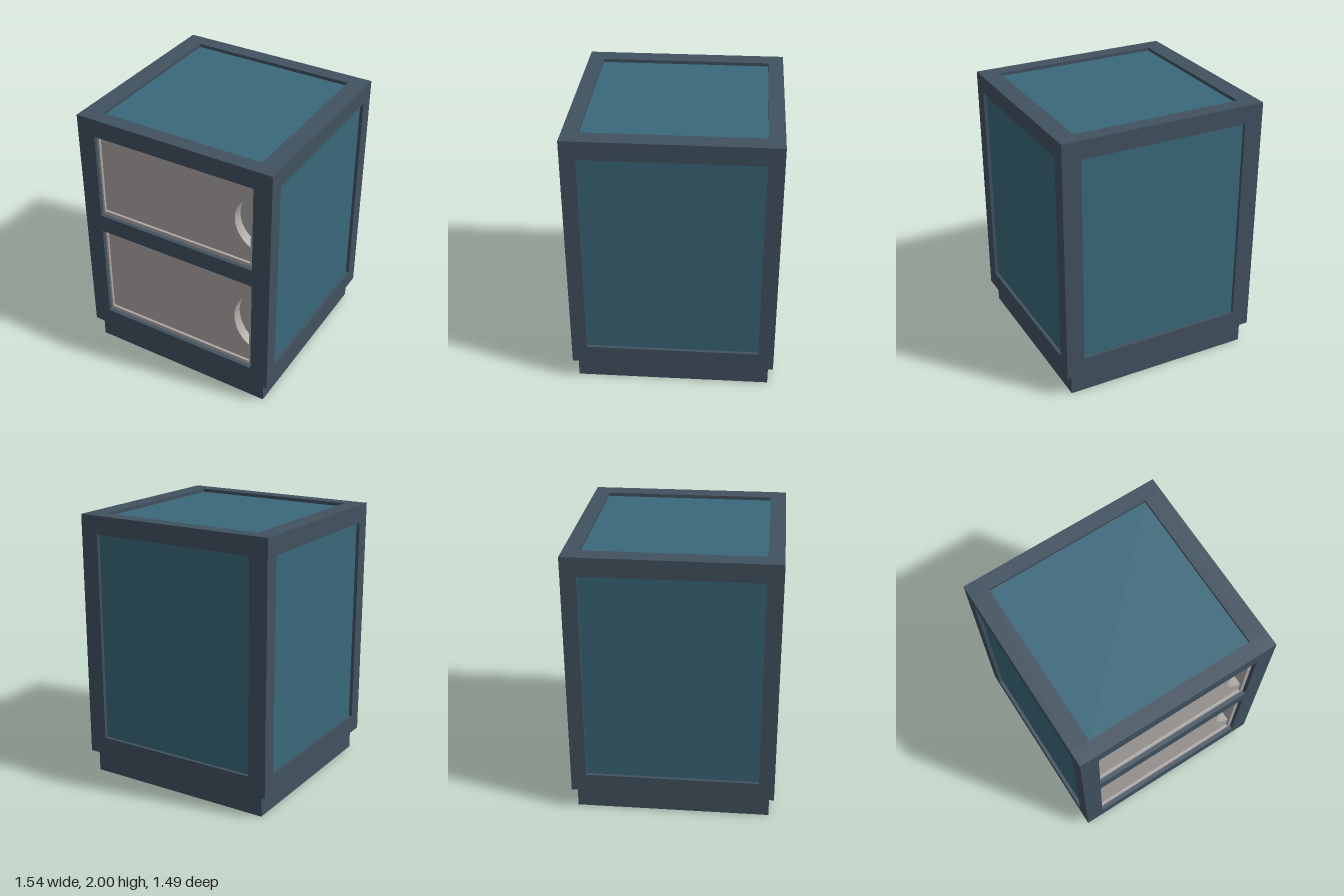
import * as THREE from 'three';

const paint = (color) => new THREE.MeshStandardMaterial({ color });
const frameMat = paint(0x415260);
const panelMat = paint(0x3a687a);
const drawerMat = paint(0xaca7a5);

// Outer half sizes, opening half sizes, and heights of the carcass
const X = 0.768, Z = 0.745, IX = 0.63, IZ = 0.632;
const BOTTOM = 0.165, TOP = 2, LOW = 0.3, HIGH = 1.865;
const RECESS = 0.025, THICK = 0.03;

// Box given by its minimum and maximum corners
function box(parent, name, mat, [x0, y0, z0], [x1, y1, z1]) {
  const mesh = new THREE.Mesh(new THREE.BoxGeometry(x1 - x0, y1 - y0, z1 - z0), mat);
  mesh.position.set((x0 + x1) / 2, (y0 + y1) / 2, (z0 + z1) / 2);
  mesh.name = name;
  parent.add(mesh);
}

// Flat shape extruded so that its front lies at the given z
function slab(parent, name, shape, front, depth) {
  const geo = new THREE.ExtrudeGeometry(shape, { depth, bevelEnabled: false, curveSegments: 10 });
  const mesh = new THREE.Mesh(geo, drawerMat);
  mesh.position.z = front - depth;
  mesh.name = name;
  parent.add(mesh);
}

const rectPoints = (x0, y0, x1, y1) =>
  [[x0, y0], [x1, y0], [x1, y1], [x0, y1]].map(([x, y]) => new THREE.Vector2(x, y));

// Drawer front: rim, sunken face with a curved bite, and the back of the finger pull
function drawer(name, y0, y1) {
  const group = new THREE.Group();
  group.name = name;
  const left = -0.615, right = 0.6, b = y0 + 0.03, t = y1 - 0.025;

  const rim = new THREE.Shape(rectPoints(-IX, y0, IX, y1));
  rim.holes.push(new THREE.Path(rectPoints(left, b, right, t)));
  slab(group, 'drawerRim', rim, Z - 0.03, 0.13);

  const cy = (y0 + y1) / 2 + 0.018, rx = 0.227, ry = 0.34 * (y1 - y0);
  const a = 1.153;
  const face = new THREE.Shape();
  face.moveTo(left, b);
  face.lineTo(right, b);
  face.lineTo(right, cy - ry * Math.sin(a));
  face.absellipse(right + rx * Math.cos(a), cy, rx, ry, Math.PI + a, Math.PI - a, true, 0);
  face.lineTo(right, t);
  face.lineTo(left, t);
  slab(group, 'drawerFace', face, Z - 0.05, 0.075);

  box(group, 'fingerPullBack', drawerMat, [left, b, Z - 0.16], [right, t, Z - 0.125]);
  return group;
}

export function createModel() {
  const model = new THREE.Group();
  model.name = 'cabinet';

  // Plinth
  box(model, 'plinth', frameMat, [-0.722, 0, -0.71], [0.722, BOTTOM, 0.71]);

  // Frame: corner posts, then rails between them at the bottom and the top
  const frame = new THREE.Group();
  frame.name = 'frame';
  model.add(frame);
  for (const [x0, x1] of [[-X, -IX], [IX, X]])
    for (const [z0, z1] of [[-Z, -IZ], [IZ, Z]])
      box(frame, 'cornerPost', frameMat, [x0, BOTTOM, z0], [x1, TOP, z1]);
  for (const [y0, y1] of [[BOTTOM, LOW], [HIGH, TOP]]) {
    for (const [z0, z1] of [[-Z, -IZ], [IZ, Z]])
      box(frame, 'crossRail', frameMat, [-IX, y0, z0], [IX, y1, z1]);
    for (const [x0, x1] of [[-X, -IX], [IX, X]])
      box(frame, 'sideRail', frameMat, [x0, y0, -IZ], [x1, y1, IZ]);
  }
  box(frame, 'drawerDivider', frameMat, [-IX, 1.065, IZ], [IX, 1.2, Z]);

  // Recessed panels
  const px = X - RECESS, pz = Z - RECESS, py = TOP - RECESS;
  box(model, 'rightPanel', panelMat, [-px, LOW, -IZ], [-px + THICK, HIGH, IZ]);
  box(model, 'leftPanel', panelMat, [px - THICK, LOW, -IZ], [px, HIGH, IZ]);
  box(model, 'backPanel', panelMat, [-IX, LOW, -pz], [IX, HIGH, -pz + THICK]);
  box(model, 'topPanel', panelMat, [-IX, py - THICK, -IZ], [IX, py, IZ]);

  // Drawers
  model.add(drawer('upperDrawer', 1.2, HIGH), drawer('lowerDrawer', LOW, 1.065));
  return model;
}
